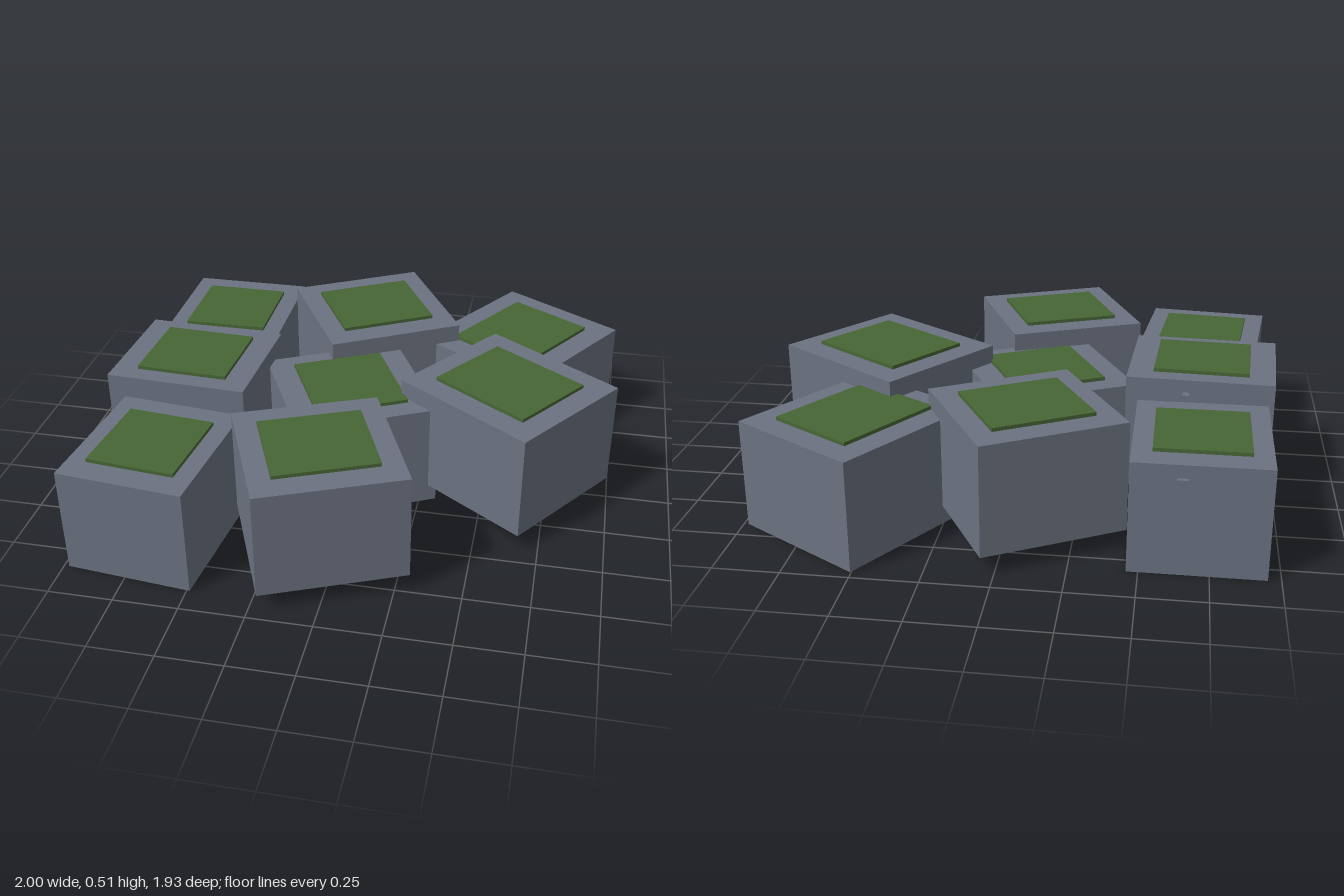
import * as THREE from 'three';

const HEIGHT = 0.425;
const PAD = 0.014;
const RAISED = 0.073;

export function createModel() {
  const model = new THREE.Group();
  const stone = new THREE.MeshStandardMaterial({ color: 0x6b7280 });
  stone.name = 'slate grey';
  const grass = new THREE.MeshStandardMaterial({ color: 0x476636 });
  grass.name = 'grass green';

  function addBox(parent, name, size, position, material) {
    const mesh = new THREE.Mesh(new THREE.BoxGeometry(...size), material);
    mesh.name = name;
    mesh.position.set(...position);
    parent.add(mesh);
  }

  // Each block: centre x, z, base height, width, depth, turn in degrees, pad share of width and depth
  const blocks = [
    ['backRightBlock', -0.705, -0.547, 0, 0.495, 0.565, 0, 0.7, 0.65],
    ['middleRightBlock', -0.705, 0.022, RAISED, 0.567, 0.495, -3, 0.65, 0.7],
    ['frontRightBlock', -0.705, 0.591, 0, 0.495, 0.565, -6, 0.7, 0.65],
    ['backCentreBlock', -0.065, -0.547, RAISED, 0.565, 0.567, 29, 0.7, 0.65],
    ['centreBlock', -0.065, 0.022, 0, 0.565, 0.567, 26.7, 0.65, 0.7],
    ['frontCentreBlock', -0.065, 0.591, RAISED, 0.565, 0.565, 23, 0.7, 0.65],
    ['backLeftBlock', 0.575, -0.545, 0, 0.565, 0.635, -32, 0.65, 0.7],
    ['middleLeftBlock', 0.575, 0.022, RAISED, 0.63, 0.565, -35, 0.7, 0.65],
  ];
  for (const [name, x, z, base, w, d, turn, padW, padD] of blocks) {
    const block = new THREE.Group();
    block.name = name;
    block.position.set(x, base, z);
    block.rotation.y = THREE.MathUtils.degToRad(turn);
    addBox(block, 'body', [w, HEIGHT, d], [0, HEIGHT / 2, 0], stone);
    addBox(block, 'roofPad', [w * padW, PAD, d * padD], [0, HEIGHT + PAD / 2, 0], grass);
    model.add(block);
  }

  // Narrow upright strips on the back faces of the right-hand row
  addBox(model, 'backStrip', [0.04, 0.32, 0.03], [-0.64, 0.215, -0.831], stone);
  addBox(model, 'middleStrip', [0.025, 0.32, 0.035], [-0.64, 0.288, -0.238], stone);
  addBox(model, 'frontStrip', [0.04, 0.32, 0.03], [-0.64, 0.215, 0.306], stone);

  return model;
}
